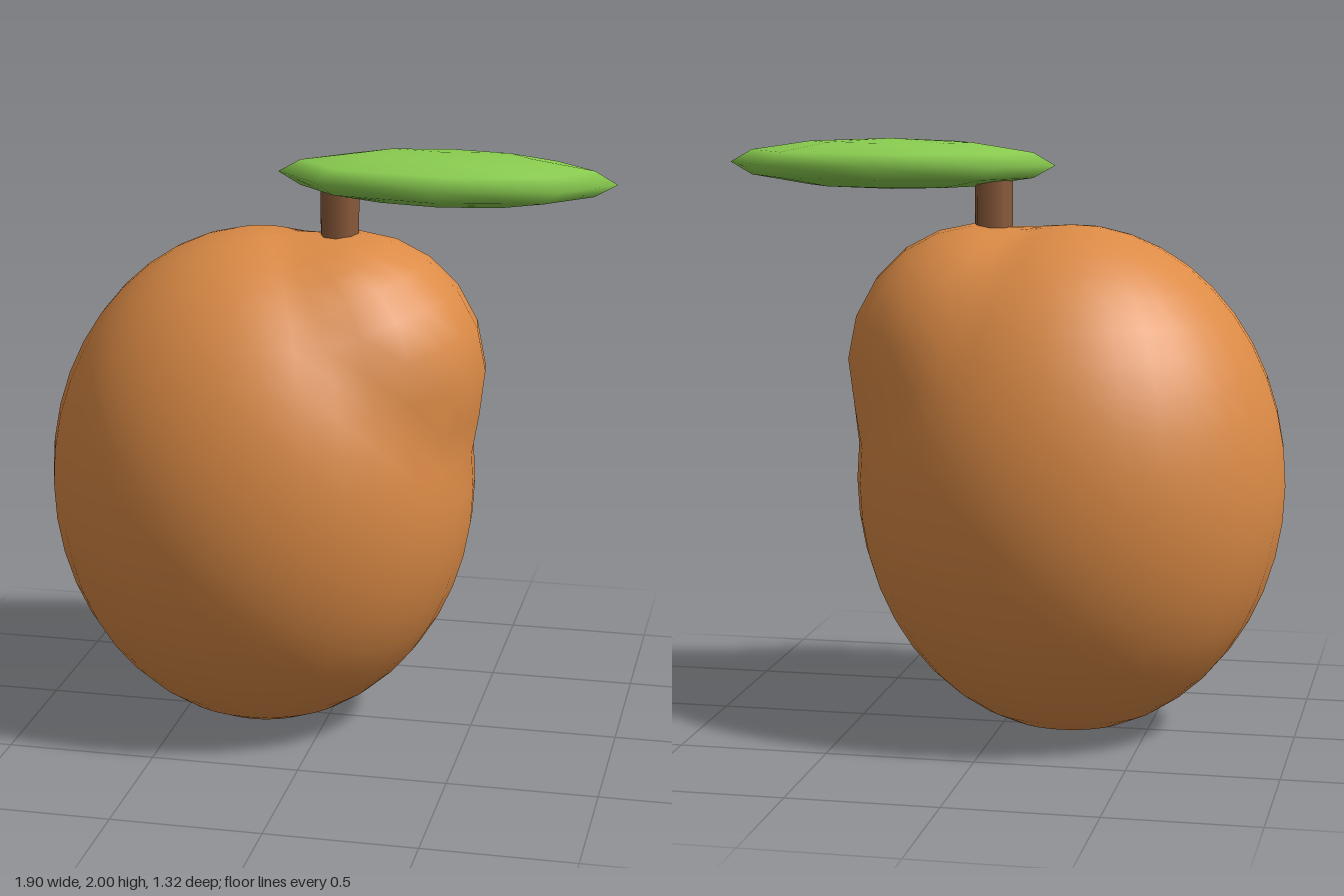
import * as THREE from 'three';
import { mergeVertices } from 'three/addons/utils/BufferGeometryUtils.js';

const skin = new THREE.MeshStandardMaterial({ name: 'orange skin', color: 0xdc8b46 });
const bark = new THREE.MeshStandardMaterial({ name: 'brown bark', color: 0x8a5a3a });
const green = new THREE.MeshStandardMaterial({ name: 'leaf green', color: 0x8acd50 });

// Main body ellipsoid and the smaller shoulder lobe under the stem
const BODY = { centre: new THREE.Vector3(-0.23, 0.86, 0), radii: new THREE.Vector3(0.725, 0.86, 0.66) };
const LOBE = { centre: new THREE.Vector3(0.07, 1.25, 0), radii: new THREE.Vector3(0.46, 0.47, 0.44) };

// Far distance at which a ray leaves an ellipsoid (0 if it misses)
function exitDistance(origin, dir, { centre, radii }) {
  const o = origin.clone().sub(centre).divide(radii);
  const d = dir.clone().divide(radii);
  const a = d.dot(d), b = o.dot(d), disc = b * b - a * (o.dot(o) - 1);
  return disc < 0 ? 0 : Math.max(0, (-b + Math.sqrt(disc)) / a);
}

// Larger of two distances with a softened crease
function softMax(a, b, k) {
  const h = Math.max(k - Math.abs(a - b), 0) / k;
  return Math.max(a, b) + h * h * k * 0.25;
}

function fruitGeometry() {
  let geo = new THREE.SphereGeometry(1, 32, 22);
  geo.deleteAttribute('uv');
  geo.deleteAttribute('normal');
  geo = mergeVertices(geo, 1e-4);
  const pos = geo.attributes.position;
  const p = new THREE.Vector3();
  for (let i = 0; i < pos.count; i++) {
    const dir = p.fromBufferAttribute(pos, i).multiply(BODY.radii).normalize().clone();
    const r = softMax(exitDistance(BODY.centre, dir, BODY), exitDistance(BODY.centre, dir, LOBE), 0.03);
    p.copy(BODY.centre).addScaledVector(dir, r);
    pos.setXYZ(i, p.x, p.y, p.z);
  }
  geo.computeVertexNormals();
  return geo;
}

function addPart(group, name, geometry, material, x = 0, y = 0, z = 0) {
  const mesh = new THREE.Mesh(geometry, material);
  mesh.name = name;
  mesh.position.set(x, y, z);
  group.add(mesh);
  return mesh;
}

export function createModel() {
  const group = new THREE.Group();
  group.name = 'fruit with leaf';
  addPart(group, 'fruit', fruitGeometry(), skin);
  // Short stem sunk slightly into the fruit and the leaf
  addPart(group, 'stem', new THREE.CylinderGeometry(0.065, 0.065, 0.22, 8), bark, 0.035, 1.79, 0);
  // Flattened, faceted-outline leaf
  const leaf = addPart(group, 'leaf', new THREE.SphereGeometry(1, 8, 6), green, 0.388, 1.915, 0);
  leaf.scale.set(0.562, 0.085, 0.245);
  return group;
}
